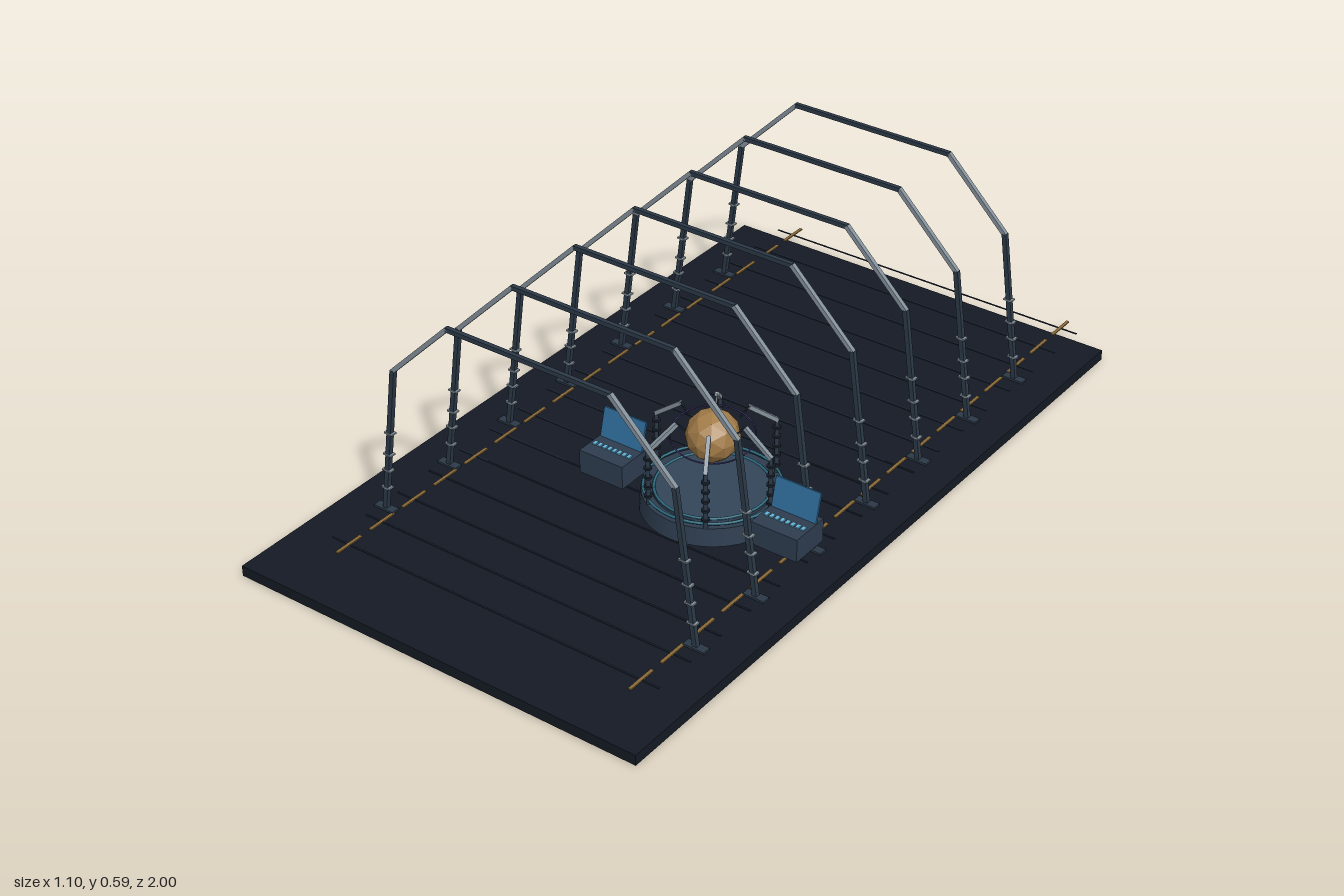
import * as THREE from 'three';

const mat = (color, flatShading = false) => new THREE.MeshStandardMaterial({ color, flatShading });
const M = {
  floor: mat(0x141a24), seam: mat(0x1c2634), dash: mat(0x8a6a38), frame: mat(0x2c3948),
  steel: mat(0x84919b), base: mat(0x2e3d50), deck: mat(0x33455a), teal: mat(0x2c6c80),
  dark: mat(0x1a222e), globe: mat(0xa37c48, true), hoop: mat(0x40356e),
  screen: mat(0x2f6a98), key: mat(0x62b4d8),
};

function add(parent, name, geo, material, x = 0, y = 0, z = 0) {
  const mesh = new THREE.Mesh(geo, material);
  mesh.name = name;
  mesh.position.set(x, y, z);
  parent.add(mesh);
  return mesh;
}

const box = (w, h, d) => new THREE.BoxGeometry(w, h, d);

function group(parent, name, x = 0, y = 0, z = 0) {
  const g = new THREE.Group();
  g.name = name;
  g.position.set(x, y, z);
  parent.add(g);
  return g;
}

// Square bar between two points in the XY plane
function beam(parent, name, a, b, t, material) {
  const dx = b[0] - a[0], dy = b[1] - a[1];
  const m = add(parent, name, box(t, Math.hypot(dx, dy) + t * 0.3, t), material,
    (a[0] + b[0]) / 2, (a[1] + b[1]) / 2, 0);
  m.rotation.z = Math.atan2(-dx, dy);
  return m;
}

function buildRib(parent, z) {
  const rib = group(parent, 'archRib', 0, 0, z);
  for (const s of [-1, 1]) {
    beam(rib, 'ribLeg', [s * 0.44, 0.027], [s * 0.388, 0.418], 0.012, M.frame);
    beam(rib, 'ribShoulder', [s * 0.388, 0.418], [s * 0.222, 0.584], 0.011, M.steel);
    add(rib, 'footPlate', box(0.056, 0.006, 0.022), M.frame, s * 0.44, 0.029, 0);
    // Small rungs up each leg
    for (const y of [0.09, 0.14, 0.185, 0.245]) {
      const x = 0.44 - ((y - 0.027) / 0.391) * 0.052;
      add(rib, 'legRung', box(0.024, 0.004, 0.016), M.steel, s * x, y, 0);
    }
  }
  beam(rib, 'ribTop', [-0.222, 0.584], [0.222, 0.584], 0.011, M.frame);
}

function buildPedestal(parent) {
  const p = group(parent, 'globePedestal', 0.163, 0, 0.2);
  add(p, 'pedestalBase', new THREE.CylinderGeometry(0.165, 0.17, 0.046, 32), M.base, 0, 0.06, 0);
  add(p, 'pedestalDeck', new THREE.CylinderGeometry(0.14, 0.14, 0.008, 32), M.deck, 0, 0.085, 0);
  for (const [r, y] of [[0.16, 0.093], [0.135, 0.089]]) {
    add(p, 'glowRing', new THREE.TorusGeometry(r, 0.0035, 6, 40), M.teal, 0, y, 0).rotation.x = Math.PI / 2;
  }

  // Six posts with inward arms and emitter needles
  for (let i = 0; i < 6; i++) {
    const arm = group(p, 'emitterPost');
    arm.rotation.y = (i * Math.PI) / 3;
    add(arm, 'post', new THREE.CylinderGeometry(0.005, 0.006, 0.148, 8), M.frame, 0.16, 0.153, 0);
    for (let k = 0; k < 5; k++) {
      add(arm, 'postCollar', new THREE.CylinderGeometry(0.01, 0.01, 0.005, 10), M.dark, 0.16, 0.105 + k * 0.025, 0);
    }
    beam(arm, 'postArm', [0.16, 0.225], [0.09, 0.278], 0.01, M.steel);
    beam(arm, 'needle', [0.09, 0.28], [0.068, 0.256], 0.004, M.dark);
  }

  // Globe and its tilted hoop
  add(p, 'globe', new THREE.IcosahedronGeometry(0.064, 1), M.globe, 0, 0.226, 0);
  const hoop = add(p, 'orbitHoop', new THREE.TorusGeometry(0.098, 0.002, 6, 48), M.hoop, 0, 0.226, 0);
  hoop.quaternion.setFromUnitVectors(new THREE.Vector3(0, 0, 1),
    new THREE.Vector3(0.57, -0.24, 0.78).normalize());
}

function buildConsole(parent, x) {
  const c = group(parent, 'console', x, 0, 0.253);
  add(c, 'consoleBody', box(0.124, 0.06, 0.104), M.base, 0, 0.092, 0);
  const screen = add(c, 'consoleScreen', box(0.12, 0.074, 0.006), M.screen, 0, 0.157, -0.036);
  screen.rotation.x = -0.25;
  for (let i = 0; i < 8; i++) {
    add(c, 'consoleKey', box(0.009, 0.004, 0.014), M.key, -0.049 + i * 0.014, 0.123, 0.008);
  }
}

export function createModel() {
  const model = new THREE.Group();
  model.name = 'hangarDeck';

  add(model, 'floorSlab', box(1.1, 0.027, 1.93), M.floor, 0, 0.0135, 0.035);

  // Cross seams and edge dashes share one spacing
  for (let i = 0; i < 17; i++) {
    const z = -0.96 + i * 0.11;
    add(model, 'floorSeam', box(0.92, 0.002, 0.004), M.seam, 0, 0.028, z);
    for (const s of [-1, 1]) {
      add(model, 'edgeDash', box(0.008, 0.003, 0.08), M.dash, s * 0.412, 0.0285, z);
    }
  }

  for (let i = 0; i < 7; i++) buildRib(model, 0.643 - i * 0.2212);
  buildPedestal(model);
  for (const s of [-1, 1]) buildConsole(model, 0.163 + s * 0.242);
  return model;
}
